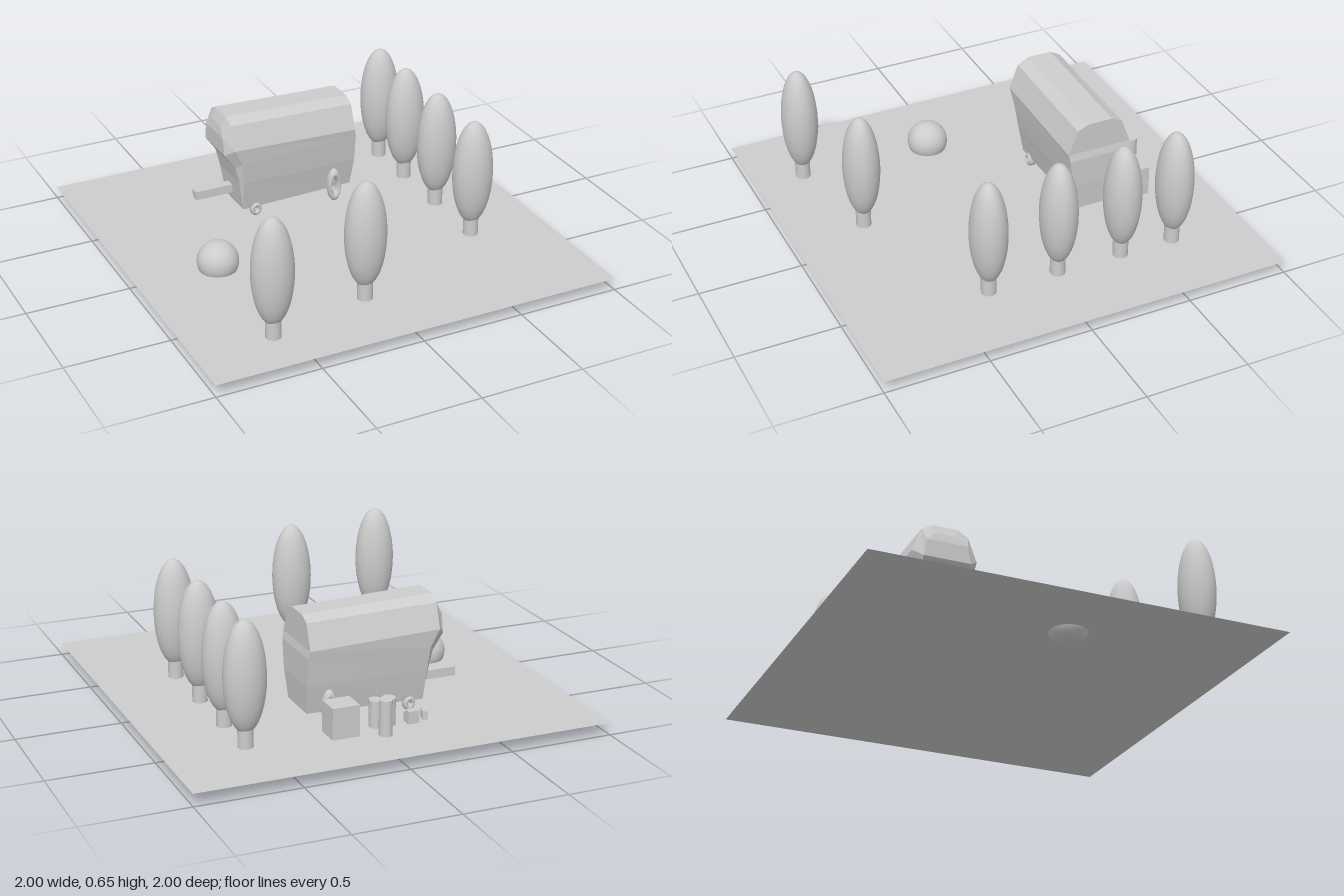
import * as THREE from 'three';

const stone = new THREE.MeshStandardMaterial({ color: 0xcccccc });
stone.name = 'plain grey';
stone.side = THREE.DoubleSide;

const GROUND = 0.06;
const WAGON_Z = -0.398;

function add(parent, name, geometry, x, y, z) {
  const mesh = new THREE.Mesh(geometry, stone);
  mesh.name = name;
  mesh.position.set(x, y, z);
  parent.add(mesh);
  return mesh;
}

// Block or post standing on the ground
function block(parent, name, x, z, w, h, d, turn = 0) {
  add(parent, name, new THREE.BoxGeometry(w, h, d), x, GROUND + h / 2, z).rotation.y = turn;
}
function post(parent, name, x, z, h) {
  add(parent, name, new THREE.CylinderGeometry(0.03, 0.03, h, 24), x, GROUND + h / 2, z).scale.z = 1.12;
}

function tree(x, z) {
  const group = new THREE.Group();
  group.name = 'tree';
  group.position.set(x, 0, z);
  const trunk = new THREE.CylinderGeometry(0.036, 0.036, 0.1, 24);
  add(group, 'trunk', trunk, 0, GROUND + 0.05, 0);
  const crown = new THREE.SphereGeometry(1, 32, 24).scale(0.099, 0.264, 0.087);
  add(group, 'crown', crown, 0, 0.388, 0);
  return group;
}

// Lofts mirrored half sections [x, y, halfWidth], bottom to top, and closes both ends
function loft(sections) {
  const rings = sections.map(s => [
    ...s.map(([x, y, w]) => [x, y, w]),
    ...s.slice().reverse().map(([x, y, w]) => [x, y, -w]),
  ]);
  const n = rings[0].length;
  const index = [];
  const quad = (a, b, c, d) => index.push(a, b, c, a, c, d);
  for (let r = 0; r < rings.length - 1; r++) {
    for (let i = 0; i < n; i++) {
      const j = (i + 1) % n;
      quad(r * n + i, r * n + j, (r + 1) * n + j, (r + 1) * n + i);
    }
  }
  const last = (rings.length - 1) * n;
  for (let i = 0; i < n / 2 - 1; i++) {
    quad(i, n - 1 - i, n - 2 - i, i + 1);
    quad(last + i, last + i + 1, last + n - 2 - i, last + n - 1 - i);
  }
  const geometry = new THREE.BufferGeometry();
  geometry.setAttribute('position', new THREE.Float32BufferAttribute(rings.flat(2), 3));
  geometry.setIndex(index);
  const flat = geometry.toNonIndexed();
  flat.computeVertexNormals();
  return flat;
}

function wagon() {
  const group = new THREE.Group();
  group.name = 'wagon';
  group.position.z = WAGON_Z;

  // Body: tail section, nose section, then the inset nose face
  const tail = [
    [0.285, 0.123, 0.11], [0.295, 0.26, 0.137], [0.295, 0.4, 0.155],
    [0.287, 0.435, 0.16], [0.287, 0.555, 0.115], [0.287, 0.58, 0.062],
  ];
  const nose = [
    [-0.293, 0.108, 0.11], [-0.3, 0.26, 0.137], [-0.308, 0.37, 0.152],
    [-0.35, 0.455, 0.16], [-0.352, 0.57, 0.115], [-0.353, 0.6, 0.062],
  ];
  const face = [
    [-0.295, 0.115, 0.1], [-0.315, 0.26, 0.118], [-0.335, 0.345, 0.12],
    [-0.388, 0.42, 0.115], [-0.388, 0.505, 0.1], [-0.377, 0.55, 0.055],
  ];
  add(group, 'wagonBody', loft([tail, nose, face]), 0, 0, 0);
  add(group, 'towBar', new THREE.BoxGeometry(0.19, 0.043, 0.045), -0.405, 0.185, -0.003);

  // Narrow oval wheels at the back, small wheels at the front
  for (const side of [1, -1]) {
    const wheel = add(group, 'backWheel', new THREE.TorusGeometry(0.0625, 0.025, 14, 32), 0.185, 0.147, side * 0.133);
    wheel.scale.x = 0.4;
    const small = add(group, 'frontWheel', new THREE.TorusGeometry(0.022, 0.015, 12, 28), -0.225, 0.097, side * 0.1);
    small.scale.set(0.8, 1, 1.5);
  }
  return group;
}

export function createModel() {
  const model = new THREE.Group();
  model.name = 'campsite';

  add(model, 'ground', new THREE.PlaneGeometry(2, 2).rotateX(-Math.PI / 2), 0, GROUND, 0);
  add(model, 'boulder', new THREE.SphereGeometry(0.099, 32, 16), -0.597, 0.1, 0.1);

  const treeSpots = [
    [0.62, -0.615], [0.62, -0.343], [0.62, -0.018], [0.62, 0.33],
    [-0.62, 0.757], [-0.11, 0.642],
  ];
  for (const [x, z] of treeSpots) model.add(tree(x, z));

  model.add(wagon());

  // Goods laid out behind the wagon
  block(model, 'crate', 0.175, -0.642, 0.132, 0.15, 0.12);
  post(model, 'tallBarrel', -0.003, -0.73, 0.17);
  post(model, 'barrel', -0.003, -0.62, 0.13);
  post(model, 'barrel', -0.07, -0.62, 0.13);
  block(model, 'smallBox', -0.177, -0.634, 0.055, 0.045, 0.056);
  block(model, 'smallBoxLid', -0.177, -0.642, 0.052, 0.06, 0.038);
  block(model, 'tiltedBox', -0.25, -0.615, 0.025, 0.04, 0.05, -0.25);

  return model;
}
